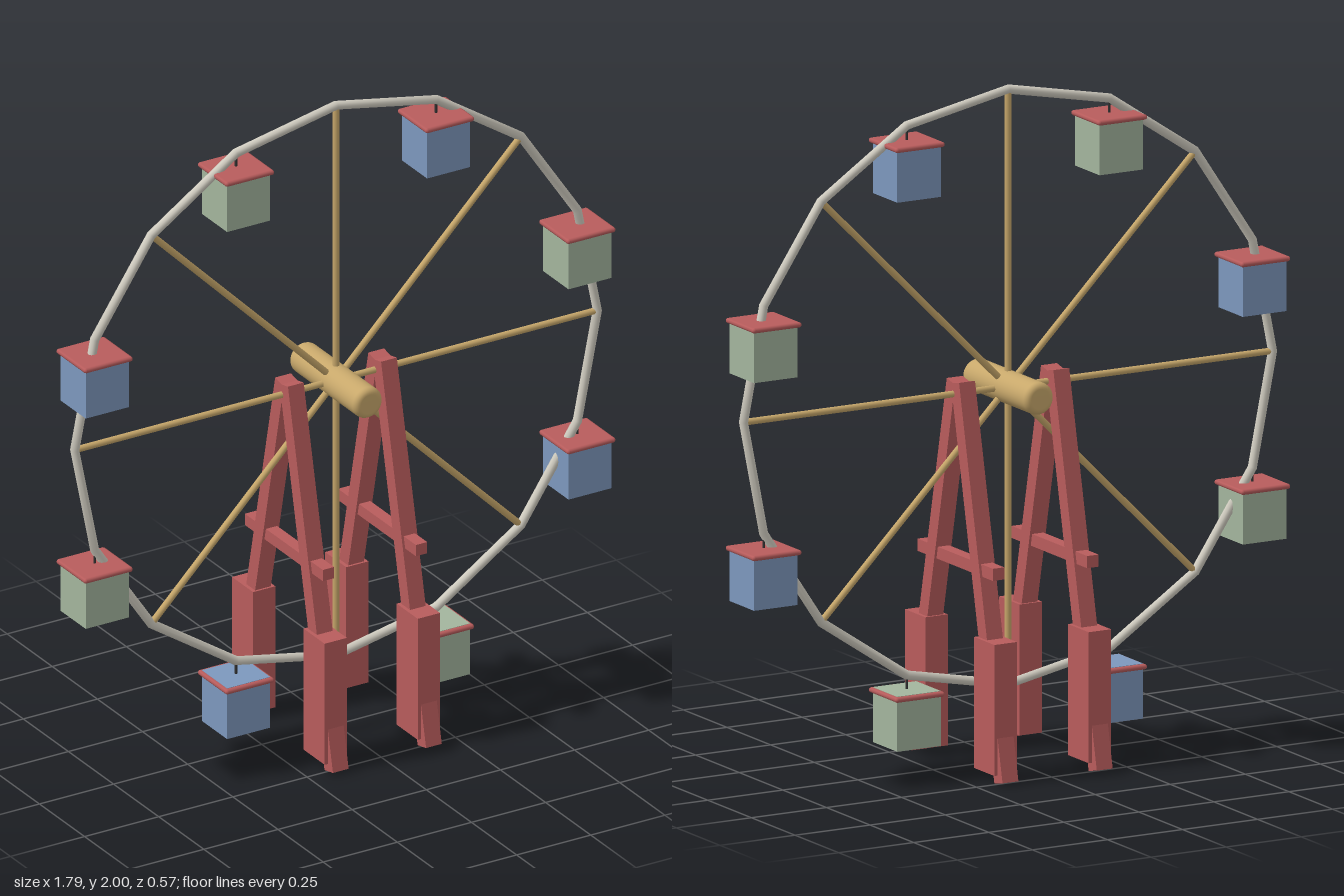
import * as THREE from 'three';

const mat = (color, extra = {}) => new THREE.MeshStandardMaterial({ color, ...extra });
const RED = mat(0xb85c5c), GOLD = mat(0xc8a86b), CREAM = mat(0xd0ccc0);
const BLUE = mat(0x7d98bd), GREEN = mat(0xa3b59d), DARK = mat(0x333333);
const HUB_Y = 1.105, RADIUS = 0.881;

function add(parent, name, geometry, material, x = 0, y = 0, z = 0) {
  const mesh = new THREE.Mesh(geometry, material);
  mesh.name = name;
  mesh.position.set(x, y, z);
  parent.add(mesh);
  return mesh;
}

// Rim, spokes and rounded axle
function makeWheel() {
  const wheel = new THREE.Group();
  wheel.name = 'wheel';
  wheel.position.y = HUB_Y;
  add(wheel, 'rim', new THREE.TorusGeometry(RADIUS, 0.0138, 8, 16), CREAM);

  const spoke = new THREE.CylinderGeometry(0.01, 0.01, RADIUS, 8).translate(0, RADIUS / 2, 0);
  for (let i = 0; i < 8; i++) add(wheel, 'spoke', spoke, GOLD).rotation.z = i * Math.PI / 4;

  const half = 0.187, r = 0.048, bevel = 0.018, profile = [new THREE.Vector2(0, -half)];
  for (const end of [-1, 1]) {
    for (let i = 0; i <= 5; i++) {
      const a = (end < 0 ? i : 5 - i) / 5 * Math.PI / 2;
      profile.push(new THREE.Vector2(r - bevel + bevel * Math.sin(a), end * (half - bevel + bevel * Math.cos(a))));
    }
  }
  profile.push(new THREE.Vector2(0, half));
  add(wheel, 'axle', new THREE.LatheGeometry(profile, 32), GOLD).rotation.x = Math.PI / 2;
  return wheel;
}

// Hanging cabin, its origin at the hanging point on the rim
function makeCabin(material, low) {
  const cabin = new THREE.Group();
  cabin.name = 'cabin';
  const top = -0.042, height = 0.163, lift = low ? 0.001 : -0.001;
  add(cabin, 'hanger', new THREE.CylinderGeometry(0.004, 0.004, 0.05, 8), DARK, 0, -0.022, 0);
  add(cabin, 'cabinBody', new THREE.BoxGeometry(0.145, height, 0.14), material, 0, top + lift - height / 2, 0);
  // Roof plate with rounded edges
  add(cabin, 'roof', new THREE.BoxGeometry(0.148, 0.016, 0.148), RED, 0, top - 0.008, 0);
  const edge = new THREE.CapsuleGeometry(0.008, 0.148, 4, 8);
  for (const s of [-1, 1]) {
    add(cabin, 'roofEdge', edge, RED, s * 0.074, top - 0.008, 0).rotation.x = Math.PI / 2;
    add(cabin, 'roofEdge', edge, RED, 0, top - 0.008, s * 0.074).rotation.z = Math.PI / 2;
  }
  return cabin;
}

// A-frame: two leaning legs, upright casings and a cross bar
function makeFrame(x) {
  const frame = new THREE.Group();
  frame.name = 'supportFrame';
  frame.position.x = x;
  const topZ = 0.012, topY = 1.14, footZ = 0.261, footY = 0.0055;
  const length = Math.hypot(footZ - topZ, topY - footY);
  const lean = Math.atan2(footZ - topZ, topY - footY);
  for (const s of [-1, 1]) {
    add(frame, 'leg', new THREE.BoxGeometry(0.053, length, 0.048), RED,
      0, (topY + footY) / 2, s * (topZ + footZ) / 2).rotation.x = -s * lean;
    add(frame, 'legCasing', new THREE.BoxGeometry(0.075, 0.388, 0.117), RED, 0, 0.222, s * 0.198);
  }
  add(frame, 'crossBar', new THREE.BoxGeometry(0.038, 0.036, 0.432), RED, 0, 0.613, 0);
  return frame;
}

export function createModel() {
  const model = new THREE.Group();
  model.name = 'ferrisWheel';
  model.add(makeWheel(), makeFrame(-0.157), makeFrame(0.157));

  // Cabins sit on every second corner of the rim, alternating colours
  for (let i = 0; i < 8; i++) {
    const a = (i + 0.5) * Math.PI / 4;
    const cabin = makeCabin(i % 2 ? BLUE : GREEN, i === 5 || i === 6);
    cabin.position.set(RADIUS * Math.cos(a), HUB_Y + RADIUS * Math.sin(a), 0);
    model.add(cabin);
  }
  return model;
}
